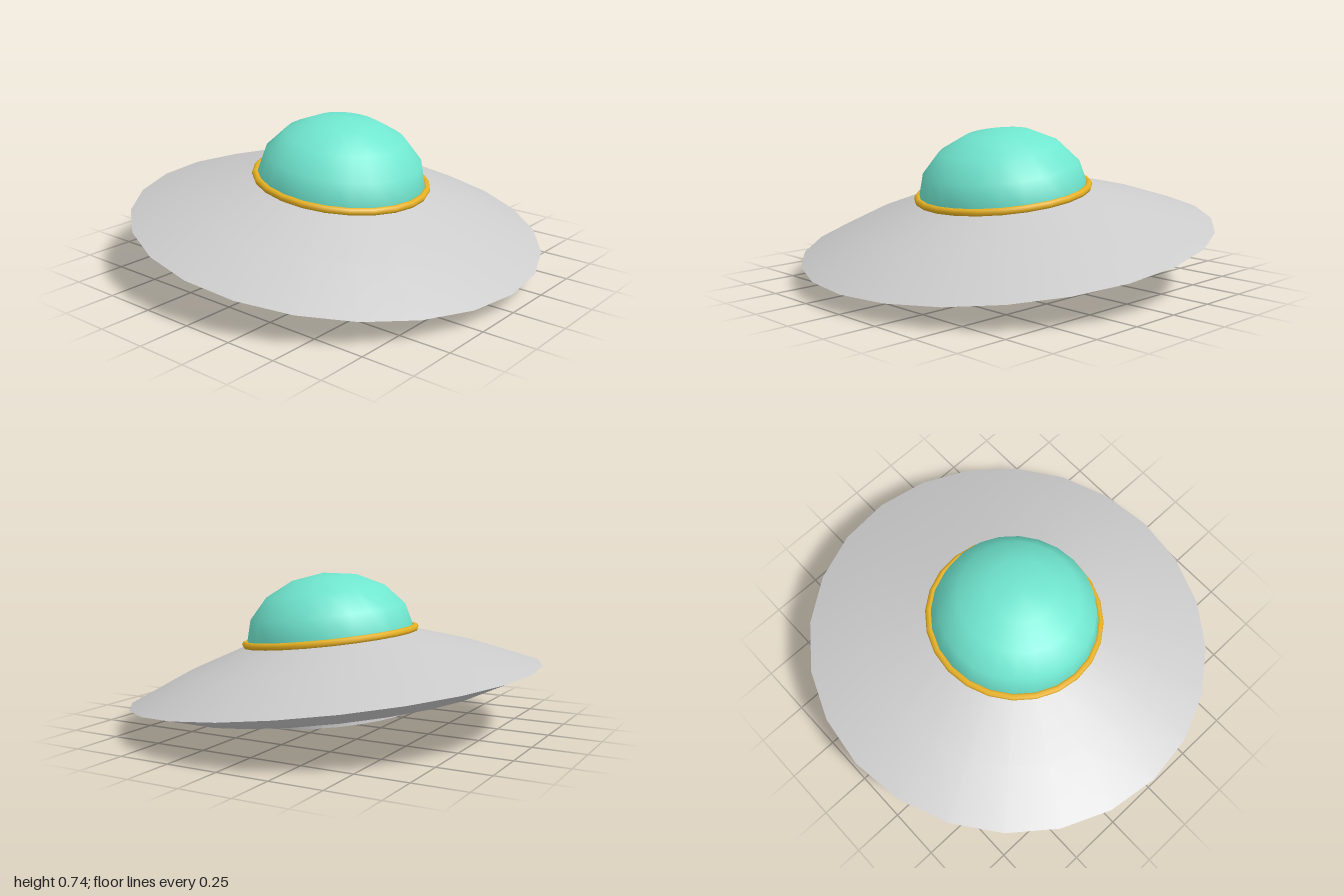
import * as THREE from 'three';

const SIDES = 24;

// Revolve a profile of [radius, height] points, listed from bottom to top
function lathe(name, points, color = 0xcccccc) {
  const geometry = new THREE.LatheGeometry(points.map(([r, y]) => new THREE.Vector2(r, y)), SIDES);
  const material = new THREE.MeshStandardMaterial({ color });
  const mesh = new THREE.Mesh(geometry, material);
  mesh.name = name;
  return mesh;
}

export function createModel() {
  const saucer = new THREE.Group();
  saucer.name = 'saucer';

  // Hull: two shallow shells meeting at a sharp rim
  saucer.add(lathe('upperHull', [[1, 0], [0.72, 0.119], [0.4, 0.222]]));
  saucer.add(lathe('lowerHull', [[0.34, -0.134], [0.38, -0.13], [0.77, -0.076], [1, 0]]));

  // Landing ring under the hull, each face kept crisp, around a recessed floor
  const landingRing = new THREE.Group();
  landingRing.name = 'landingRing';
  landingRing.add(
    lathe('ringOuterWall', [[0.375, -0.162], [0.375, -0.125]]),
    lathe('ringFoot', [[0.32, -0.162], [0.375, -0.162]]),
    lathe('ringInnerWall', [[0.32, -0.132], [0.32, -0.162]]),
    lathe('recessFloor', [[0, -0.134], [0.345, -0.134]]),
  );
  saucer.add(landingRing);

  // Flattened half-sphere canopy
  const dome = new THREE.Mesh(
    new THREE.SphereGeometry(0.41, SIDES, 4, 0, Math.PI * 2, 0, Math.PI / 2),
    new THREE.MeshStandardMaterial({ color: 0x70e6cf }),
  );
  dome.name = 'dome';
  dome.scale.y = 0.75;
  dome.position.y = 0.225;
  saucer.add(dome);

  // Gold trim around the foot of the dome
  const trim = new THREE.Mesh(
    new THREE.TorusGeometry(0.415, 0.018, 8, SIDES),
    new THREE.MeshStandardMaterial({ color: 0xe6b022 }),
  );
  trim.name = 'domeTrim';
  trim.rotation.x = Math.PI / 2;
  trim.position.y = 0.226;
  saucer.add(trim);

  // The whole craft banks seven degrees
  saucer.rotation.z = THREE.MathUtils.degToRad(-7);
  saucer.position.y = 0.208;

  const model = new THREE.Group();
  model.name = 'flyingSaucer';
  model.add(saucer);
  return model;
}
